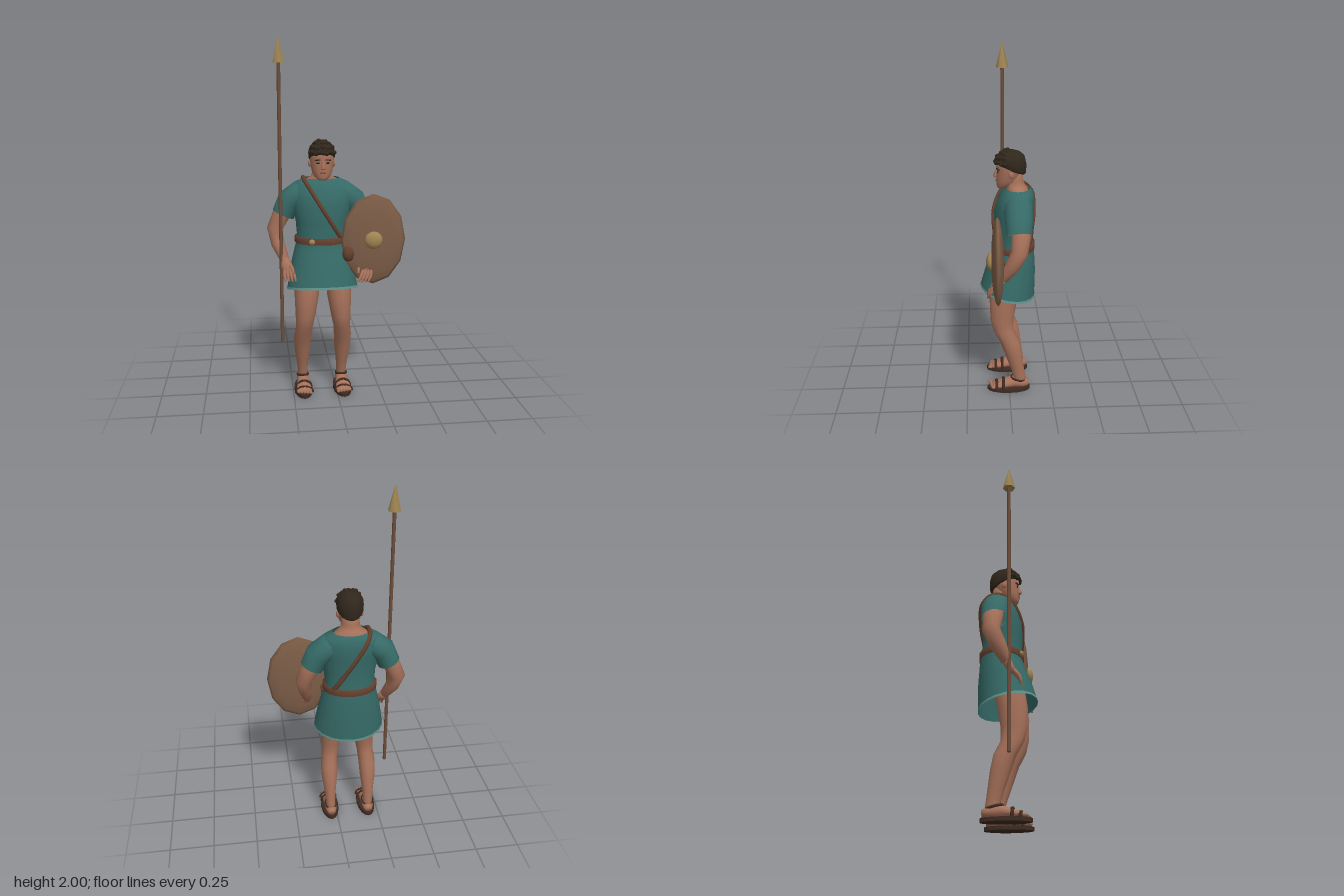
import * as THREE from 'three';

const mat = (name, color, side = THREE.FrontSide) =>
  Object.assign(new THREE.MeshStandardMaterial({ color, side }), { name });
const skin = mat('skin', 0xa6715a);
const cloth = mat('teal cloth', 0x366a67, THREE.DoubleSide);
const trim = mat('pale trim', 0x5f938c, THREE.DoubleSide);
const leather = mat('belt leather', 0x64402e, THREE.DoubleSide);
const sole = mat('dark leather', 0x3d2b22);
const hairMat = mat('hair', 0x30271c);
const wood = mat('spear wood', 0x6e4e3b);
const hide = mat('shield hide', 0x7c5d47);
const bronze = mat('bronze', 0xa08552);
const lip = mat('lip', 0x7d4a3c);

const CX = -0.077; // body centre line
const X = new THREE.Vector3(1, 0, 0), Y = new THREE.Vector3(0, 1, 0), Z = new THREE.Vector3(0, 0, 1);

export function createModel() {
  const model = new THREE.Group();
  const add = (name, geo, m, x = 0, y = 0, z = 0, parent = model) => {
    const mesh = new THREE.Mesh(geo, m);
    mesh.name = name;
    mesh.position.set(x, y, z);
    parent.add(mesh);
    return mesh;
  };
  const ball = (name, m, x, y, z, a, b = a, c = a, parent = model, w = 10, h = 7) => {
    const mesh = add(name, new THREE.SphereGeometry(1, w, h), m, x, y, z, parent);
    mesh.scale.set(a, b, c);
    return mesh;
  };

  // Skin a row of ellipses [x, y, z, a, b, tilt]; flat keeps every ring horizontal
  function loft(name, m, rows, { ref = X, flat = false, caps = true, n = 14, parent = model } = {}) {
    const P = rows.map(r => new THREE.Vector3(r[0], r[1], r[2]));
    const pos = [], idx = [];
    rows.forEach(([, , , a, b = a, tilt = 0], i) => {
      const t = flat ? Y : P[Math.min(i + 1, P.length - 1)].clone().sub(P[Math.max(i - 1, 0)]).normalize();
      const u = ref.clone().addScaledVector(t, -ref.dot(t)).normalize();
      const v = u.clone().cross(t);
      for (let j = 0; j < n; j++) {
        const q = (j / n) * Math.PI * 2;
        const p = P[i].clone().addScaledVector(u, a * Math.cos(q)).addScaledVector(v, b * Math.sin(q));
        p.y += tilt * (p.z - P[i].z);
        pos.push(p.x, p.y, p.z);
        if (i) {
          const k = (j + 1) % n, lo = (i - 1) * n, hi = i * n;
          idx.push(lo + j, hi + j, lo + k, lo + k, hi + j, hi + k);
        }
      }
    });
    if (caps) {
      const last = (rows.length - 1) * n, c = pos.length / 3;
      pos.push(...P[0].toArray(), ...P[P.length - 1].toArray());
      for (let j = 0; j < n; j++) {
        const k = (j + 1) % n;
        idx.push(c, j, k, c + 1, last + k, last + j);
      }
    }
    const g = new THREE.BufferGeometry();
    g.setAttribute('position', new THREE.Float32BufferAttribute(pos, 3));
    g.setIndex(idx);
    g.computeVertexNormals();
    return add(name, g, m, 0, 0, 0, parent);
  }

  // Tunic, from hem to neckline: [y, z, half width, half depth, tilt]
  const body = [
    [0.617, 0.005, 0.2, 0.157, 0.2], [0.75, -0.013, 0.178, 0.142, 0.1], [0.85, -0.028, 0.153, 0.12],
    [0.905, -0.03, 0.138, 0.11], [1.0, -0.024, 0.146, 0.108], [1.1, -0.03, 0.168, 0.113],
    [1.17, -0.043, 0.18, 0.104], [1.215, -0.05, 0.15, 0.088], [1.238, -0.05, 0.1, 0.072],
  ];
  const bodyRow = ([y, z, a, b, t]) => [CX, y, z, a, b, t];
  loft('tunic', cloth, body.map(bodyRow), { flat: true, caps: false, n: 20 });
  loft('hemTrim', trim, [[CX, 0.616, 0.005, 0.202, 0.159, 0.2], [CX, 0.629, 0.004, 0.2, 0.157, 0.2]],
    { flat: true, caps: false, n: 20 });

  // Belt and buckle
  loft('belt', leather, [[0.879, 0.146, 0.116], [0.881, 0.153, 0.121], [0.914, 0.153, 0.121], [0.916, 0.136, 0.108]]
    .map(([y, a, b]) => [CX, y, -0.03, a, b]), { flat: true, caps: false, n: 20 });
  ball('buckle', bronze, -0.14, 0.898, 0.08, 0.018, 0.016, 0.012);

  // Shoulder strap, laid on the front and back of the tunic
  const onTunic = (y, face) => {
    const i = Math.max(1, body.findIndex(r => r[0] >= y)), lo = body[i - 1], hi = body[i];
    const f = (y - lo[0]) / (hi[0] - lo[0]);
    const [z, a, b] = [1, 2, 3].map(k => lo[k] + (hi[k] - lo[k]) * f);
    const d = THREE.MathUtils.lerp(-0.1, 0.107, (1.236 - y) / 0.336);
    return new THREE.Vector3(CX + d, y, z + face * b * Math.sqrt(Math.max(0, 1 - (d / a) ** 2)));
  };
  const strap = [];
  for (let i = 0; i <= 9; i++) strap.push(onTunic(0.9 + 0.0368 * i, 1));
  strap.push(new THREE.Vector3(CX - 0.1, 1.241, -0.05));
  for (let i = 9; i >= 0; i--) strap.push(onTunic(0.9 + 0.0368 * i, -1));
  add('shoulderStrap', new THREE.TubeGeometry(new THREE.CatmullRomCurve3(strap), 60, 0.013, 6), leather);

  // Neck and head
  loft('neck', skin, [[1.19, -0.05, 0.12, 0.07], [1.232, -0.048, 0.09, 0.062], [1.25, -0.038, 0.058, 0.055],
    [1.28, -0.03, 0.05, 0.052], [1.34, -0.025, 0.05, 0.055]].map(bodyRow), { flat: true });
  loft('head', skin, [[1.236, 0.038, 0.022, 0.022], [1.252, 0.022, 0.042, 0.044], [1.28, 0.006, 0.056, 0.061],
    [1.32, -0.004, 0.064, 0.07], [1.345, -0.006, 0.066, 0.07], [1.38, -0.01, 0.067, 0.078],
    [1.42, -0.01, 0.05, 0.06]].map(bodyRow), { flat: true, n: 18 });
  loft('nose', skin, [[CX, 1.296, 0.064, 0.013, 0.014], [CX, 1.304, 0.07, 0.012, 0.016], [CX, 1.345, 0.06, 0.006, 0.007]],
    { flat: true, n: 8 });
  add('mouth', new THREE.BoxGeometry(0.032, 0.007, 0.008), lip, CX, 1.277, 0.066);
  for (const s of [-1, 1]) {
    ball('ear', skin, CX + s * 0.066, 1.322, -0.012, 0.009, 0.02, 0.014);
    ball('eye', hairMat, CX + s * 0.026, 1.331, 0.059, 0.011, 0.005, 0.005);
    const brow = add('brow', new THREE.BoxGeometry(0.032, 0.006, 0.008), hairMat, CX + s * 0.028, 1.347, 0.059);
    brow.rotation.set(0, s * 0.35, s * -0.1);
  }

  // Hair cap with rows of curls over the forehead
  loft('hair', hairMat, [[1.345, -0.014, 0.064, 0.078, 0.4], [1.355, -0.012, 0.072, 0.086, 0.35],
    [1.385, -0.012, 0.074, 0.088, 0.15], [1.415, -0.012, 0.066, 0.078], [1.438, -0.012, 0.046, 0.054],
    [1.449, -0.012, 0.018, 0.022]].map(bodyRow), { flat: true, n: 18 });
  [[9, 1.385, 0.07, 0.082, 1.15], [7, 1.412, 0.062, 0.072, 1.0], [5, 1.434, 0.045, 0.05, 0.9], [2, 1.446, 0.028, 0.02, 0.7]]
    .forEach(([n, y, rx, rz, span], row) => {
      for (let i = 0; i < n; i++) {
        const q = ((i / (n - 1)) * 2 - 1) * span;
        ball('curl', hairMat, CX + rx * Math.sin(q), y + 0.004 * Math.sin(i * 2.3 + row), -0.012 + rz * Math.cos(q),
          0.015, 0.012, 0.014, model, 7, 5);
      }
    });

  // Limbs, mirrored about the body centre
  for (const s of [-1, 1]) {
    const side = s < 0 ? 'right' : 'left';
    const at = r => [CX + s * r[0], ...r.slice(1)];
    loft(side + 'Sleeve', cloth, [[0.05, 1.165, -0.05, 0.06, 0.05], [0.12, 1.152, -0.05, 0.08, 0.072],
      [0.18, 1.11, -0.05, 0.077, 0.07], [0.214, 1.035, -0.05, 0.07, 0.064]].map(at), { ref: Z, caps: false });
    const fore = s < 0
      ? [[0.262, 0.95, -0.065, 0.047, 0.045], [0.247, 0.87, -0.03, 0.042, 0.038], [0.213, 0.79, 0.012, 0.028, 0.026]]
      : [[0.262, 0.95, -0.05, 0.047, 0.045], [0.25, 0.87, -0.015, 0.042, 0.038], [0.235, 0.785, 0.04, 0.028, 0.026]];
    loft(side + 'Arm', skin, [[0.17, 1.12, -0.055, 0.05], [0.222, 1.04, -0.06, 0.054, 0.05], ...fore].map(at), { ref: Z });

    // Hand: palm, four fingers and a thumb
    const hand = new THREE.Group();
    hand.name = side + 'Hand';
    model.add(hand);
    const wrist = at(fore[2]);
    const [dx, dz] = s < 0 ? [0.02, 0.035] : [0.008, 0.045];
    const [wx, wy, wz] = wrist;
    loft('palm', skin, [[wx, wy, wz, 0.026, 0.024], [wx + dx * 0.5, wy - 0.03, wz + dz * 0.5, 0.032, 0.02],
      [wx + dx, wy - 0.055, wz + dz, 0.03, 0.016]], { parent: hand, n: 10 });
    for (let i = 0; i < 4; i++) {
      const o = (i - 1.5) * 0.015, bx = wx + dx + o, by = wy - 0.05, bz = wz + dz;
      const reach = s < 0 ? 0.01 : -0.03;
      loft('finger', skin, [[bx, by, bz, 0.009], [bx + reach * 0.4 + o * 0.2, by - 0.03, bz + 0.028, 0.009],
        [bx + reach + o * 0.3, by - 0.06, bz + 0.038, 0.006]], { parent: hand, n: 7 });
    }
    loft('thumb', skin, [[wx - s * 0.015, wy - 0.02, wz + 0.015, 0.011], [wx - s * 0.04, wy - 0.04, wz + 0.045, 0.01],
      [wx - s * 0.045, wy - 0.065, wz + 0.065, 0.006]], { parent: hand, n: 7 });

    // Leg and foot
    loft(side + 'Leg', skin, [[0.113, 0.04, -0.066, 0.03, 0.038], [0.114, 0.09, -0.06, 0.028, 0.036],
      [0.115, 0.16, -0.045, 0.034, 0.042], [0.116, 0.25, -0.024, 0.046, 0.052], [0.115, 0.33, -0.002, 0.05, 0.058],
      [0.107, 0.4, 0.034, 0.048, 0.06], [0.1, 0.47, 0.042, 0.056, 0.068], [0.092, 0.58, 0.034, 0.068, 0.08],
      [0.08, 0.78, 0.0, 0.075, 0.085]].map(at), { flat: true });
    const foot = new THREE.Group();
    foot.name = side + 'Foot';
    foot.position.x = CX + s * 0.113;
    model.add(foot);
    loft('instep', skin, [[0, 0.042, -0.114, 0.02, 0.02], [0, 0.045, -0.085, 0.033, 0.03], [0, 0.05, -0.03, 0.034, 0.035],
      [0, 0.04, 0.03, 0.04, 0.026], [0, 0.031, 0.08, 0.045, 0.016], [0, 0.027, 0.1, 0.04, 0.011]], { parent: foot });
    for (let i = 0; i < 5; i++)
      ball('toe', skin, s * (i - 2) * 0.017, 0.029, 0.11 - i * 0.004, 0.01, 0.009, 0.015, foot, 7, 5);
    add('sole', new THREE.CylinderGeometry(1, 1, 0.02, 16), sole, 0, 0.01, 0.003, foot).scale.set(0.053, 1, 0.127);
    for (const [z, r, h] of [[0.075, 0.049, 0.036], [0.035, 0.045, 0.054]]) {
      const band = add('sandalStrap', new THREE.TorusGeometry(1, 0.12, 5, 12, Math.PI), sole, 0, 0.016, z, foot);
      band.scale.set(r, h, 0.08);
    }
    const cuff = add('ankleStrap', new THREE.TorusGeometry(1, 0.12, 5, 14), sole, 0, 0.072, -0.054, foot);
    cuff.rotation.x = Math.PI / 2 - 0.25;
    cuff.scale.set(0.033, 0.044, 0.06);
  }

  // Spear
  add('spearShaft', new THREE.CylinderGeometry(0.01, 0.01, 1.56, 8), wood, -0.308, 1.09, 0.025);
  add('spearHead', new THREE.ConeGeometry(0.035, 0.14, 6), bronze, -0.308, 1.93, 0.025);

  // Shield with its boss
  const disc = add('shield', new THREE.SphereGeometry(1, 12, 8).rotateX(Math.PI / 2), hide, 0.2, 0.905, 0.07);
  disc.scale.set(0.18, 0.255, 0.034);
  ball('shieldBoss', bronze, 0.197, 0.907, 0.105, 0.051, 0.049, 0.027, model, 12, 8);

  // Sword pommel at the hip
  ball('pommel', leather, 0.06, 0.83, 0.085, 0.034, 0.045, 0.026);
  add('grip', new THREE.CylinderGeometry(0.014, 0.014, 0.1, 8), leather, 0.065, 0.845, 0.045).rotation.x = 1.2;

  return model;
}
